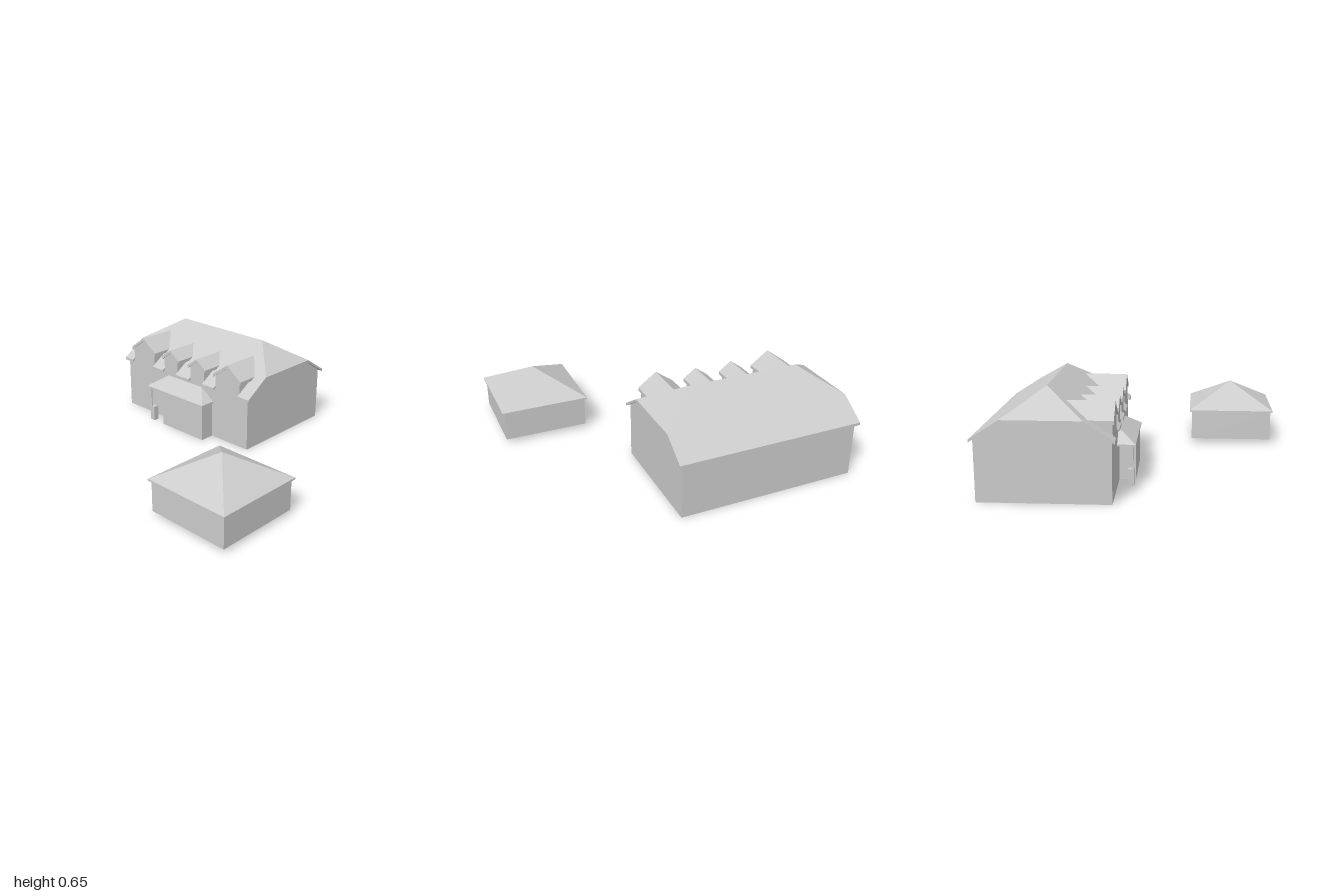
import * as THREE from 'three';

const material = new THREE.MeshStandardMaterial({ color: 0xcccccc, flatShading: true, side: THREE.DoubleSide });

function add(parent, name, geometry) {
  const mesh = new THREE.Mesh(geometry, material);
  mesh.name = name;
  parent.add(mesh);
  return mesh;
}

// Box given by its limits on each axis
function box(parent, name, [x0, x1], [y0, y1], [z0, z1]) {
  const mesh = add(parent, name, new THREE.BoxGeometry(x1 - x0, y1 - y0, z1 - z0));
  mesh.position.set((x0 + x1) / 2, (y0 + y1) / 2, (z0 + z1) / 2);
  return mesh;
}

const outline = (points) => new THREE.Shape(points.map(([a, b]) => new THREE.Vector2(a, b)));
const extrude = (points, depth) => new THREE.ExtrudeGeometry(outline(points), { depth, bevelEnabled: false });

// Sloping slab: a plan outline (x, z) lifted onto the height rule
function roofPanel(parent, name, plan, height, thickness) {
  const geometry = extrude(plan, thickness).rotateX(Math.PI / 2);
  const p = geometry.attributes.position;
  for (let i = 0; i < p.count; i++) p.setY(i, p.getY(i) + height(p.getX(i), p.getZ(i)));
  geometry.computeVertexNormals();
  return add(parent, name, geometry);
}

// Gabled dormer standing flush with the front wall
function addDormer(parent, { x, wall, eave, peak }) {
  const dormer = new THREE.Group();
  dormer.name = 'dormer';
  dormer.position.x = x;
  const low = 0.487, t = 0.022;
  const slope = (peak - low) / eave;
  const side = peak - t - slope * wall;
  const body = [[-wall, 0.37], [wall, 0.37], [wall, side], [0, peak - t], [-wall, side]];
  add(dormer, 'dormerWall', extrude(body, 0.14)).position.z = -0.26;
  const chevron = [[-eave, low], [-eave, low - t], [0, peak - t], [eave, low - t], [eave, low], [0, peak]];
  const back = -0.52 + (0.655 - peak) / 0.645;
  add(dormer, 'dormerRoof', extrude(chevron, -0.112 - back)).position.z = back;
  parent.add(dormer);
}

function createHouse() {
  const house = new THREE.Group();
  house.name = 'house';

  // Walls: end profile (z, y) run along x
  const profile = [[-0.12, 0], [-0.12, 0.383], [-0.28, 0.485], [-0.76, 0.485], [-0.92, 0.383], [-0.92, 0]];
  const walls = extrude(profile.map(([z, y]) => [-z, y]), 1.21).rotateY(Math.PI / 2);
  add(house, 'walls', walls).position.x = -0.975;

  const dormers = [
    { x: -0.803, wall: 0.112, eave: 0.126, peak: 0.578 },
    { x: -0.513, wall: 0.067, eave: 0.087, peak: 0.55 },
    { x: -0.243, wall: 0.067, eave: 0.087, peak: 0.55 },
    { x: 0.048, wall: 0.112, eave: 0.126, peak: 0.578 },
  ];
  dormers.forEach((d) => addDormer(house, d));

  // Half-hipped roof, its front eave cut away at each dormer
  const height = (x, z) => 0.655 - 0.645 * Math.max(Math.abs(z + 0.52), x - 0.02, -0.76 - x);
  const front = [[0.02, -0.52], [-0.76, -0.52], [-1, -0.28], [-1, -0.1]];
  dormers.forEach(({ x, wall }) => {
    front.push([x - wall, -0.1], [x - wall, -0.14], [x + wall, -0.14], [x + wall, -0.1]);
  });
  front.push([0.26, -0.1], [0.26, -0.28]);
  const t = 0.018;
  roofPanel(house, 'roofFront', front, height, t);
  roofPanel(house, 'roofBack',
    [[-0.76, -0.52], [0.02, -0.52], [0.26, -0.76], [0.26, -0.94], [-1, -0.94], [-1, -0.76]], height, t);
  roofPanel(house, 'roofHipLeft', [[0.02, -0.52], [0.26, -0.28], [0.26, -0.76]], height, t);
  roofPanel(house, 'roofHipRight', [[-0.76, -0.52], [-1, -0.76], [-1, -0.28]], height, t);
  return house;
}

function createPorch() {
  const porch = new THREE.Group();
  porch.name = 'porch';
  // Enclosed bay beside an open corner carried by a post on a pier
  box(porch, 'porchBay', [-0.497, -0.095], [0, 0.26], [-0.125, -0.016]);
  box(porch, 'porchPier', [-0.635, -0.595], [0, 0.108], [-0.056, -0.016]);
  box(porch, 'porchPost', [-0.632, -0.624], [0.108, 0.26], [-0.028, -0.02]);

  // Lean-to roof with hipped ends
  const l = -0.652, r = -0.085, f = -0.006, b = -0.122, run = f - b;
  const height = (x, z) => 0.27 + 0.69 * Math.min(f - z, x - l, r - x);
  box(porch, 'porchEave', [l, r], [0.257, 0.27], [b, f]);
  roofPanel(porch, 'porchRoofFront', [[l, f], [r, f], [r - run, b], [l + run, b]], height, 0.01);
  roofPanel(porch, 'porchRoofLeft', [[r, f], [r, b], [r - run, b]], height, 0.01);
  roofPanel(porch, 'porchRoofRight', [[l, f], [l + run, b], [l, b]], height, 0.01);
  return porch;
}

function createGarage() {
  const garage = new THREE.Group();
  garage.name = 'garage';
  const w = 0.288, e = 0.303;
  box(garage, 'garageWalls', [-w, w], [0.03, 0.24], [-w, w]);
  box(garage, 'garageEave', [-e, e], [0.234, 0.246], [-e, e]);
  const roof = new THREE.ConeGeometry(e * Math.SQRT2, 0.17, 4, 1, true).rotateY(Math.PI / 4);
  add(garage, 'garageRoof', roof).position.y = 0.331;
  garage.position.set(0.691, 0, 0.632);
  garage.rotation.y = -0.009;
  return garage;
}

export function createModel() {
  const model = new THREE.Group();
  model.name = 'houseWithGarage';
  model.add(createHouse(), createPorch(), createGarage());
  return model;
}
